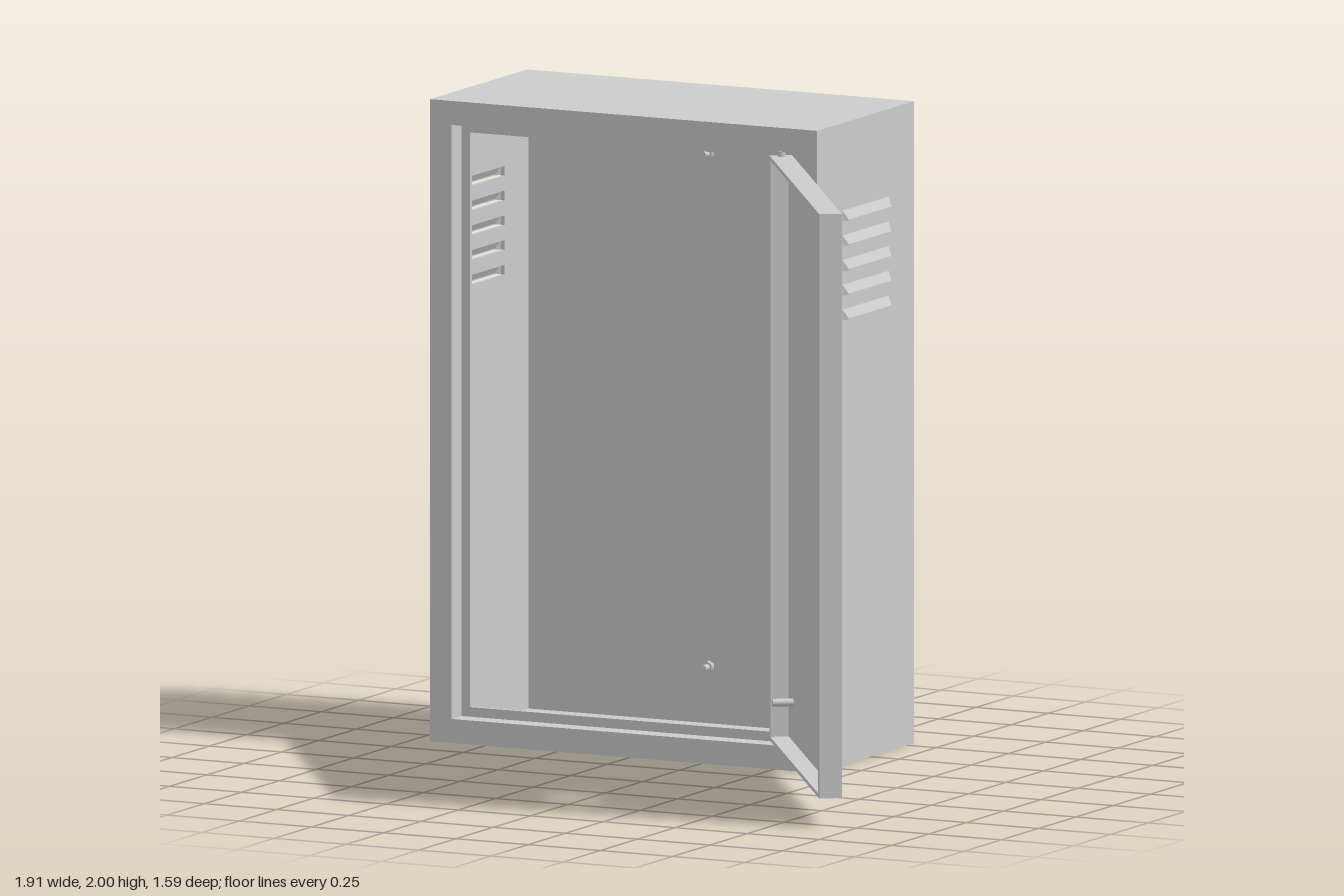
import * as THREE from 'three';

const T = 0.012; // sheet thickness
const X0 = -0.94, X1 = 0.40, H = 2, Z0 = -0.795, Z1 = -0.145;
const CX = (X0 + X1) / 2;
const mat = new THREE.MeshStandardMaterial({ color: 0xcccccc, side: THREE.DoubleSide });

function add(parent, name, geometry) {
  const mesh = new THREE.Mesh(geometry, mat);
  mesh.name = name;
  parent.add(mesh);
  return mesh;
}

// Box given by its minimum and maximum corners
function box(parent, name, x0, x1, y0, y1, z0, z1) {
  const mesh = add(parent, name, new THREE.BoxGeometry(x1 - x0, y1 - y0, z1 - z0));
  mesh.position.set((x0 + x1) / 2, (y0 + y1) / 2, (z0 + z1) / 2);
  return mesh;
}

function tracePoints(target, x0, x1, y0, y1) {
  target.moveTo(x0, y0).lineTo(x1, y0).lineTo(x1, y1).lineTo(x0, y1).closePath();
  return target;
}

// Flat sheet with rectangular holes, extruded along +z
function sheet(x0, x1, y0, y1, holes, depth) {
  const shape = tracePoints(new THREE.Shape(), x0, x1, y0, y1);
  for (const h of holes) shape.holes.push(tracePoints(new THREE.Path(), ...h));
  return new THREE.ExtrudeGeometry(shape, { depth, bevelEnabled: false });
}

// Rectangular ring between two insets from the cabinet outline
function ring(parent, name, outer, inner, z, depth) {
  const hole = [X0 + inner, X1 - inner, inner, H - inner];
  const g = sheet(X0 + outer, X1 - outer, outer, H - outer, [hole], depth);
  return add(parent, name, g.translate(0, 0, z));
}

function rod(parent, name, radius, length, sides, x, y, z) {
  const g = new THREE.CylinderGeometry(radius, radius, length, sides).rotateX(Math.PI / 2);
  add(parent, name, g.translate(0, 0, length / 2)).position.set(x, y, z);
}

// Louvre hood: sloping cover with tapered ends, open underneath; s = outward x direction
function louvreHood(x, y, s) {
  const out = x + s * 0.016;
  const za = -0.625, zb = -0.315, e = 0.012, h = 0.032;
  const p = [
    [x, y + h, za], [x, y + h, zb],
    [out, y + 0.004, zb - e], [out, y + 0.004, za + e],
    [x, y, za], [x, y, zb],
    [out, y, zb - e], [out, y, za + e],
  ];
  const tris = [0, 1, 2, 0, 2, 3, 3, 2, 6, 3, 6, 7, 1, 5, 6, 1, 6, 2, 0, 3, 7, 0, 7, 4];
  if (s < 0) tris.reverse();
  const g = new THREE.BufferGeometry();
  g.setAttribute('position', new THREE.Float32BufferAttribute(tris.flatMap(i => p[i]), 3));
  g.computeVertexNormals();
  return g;
}

function createCabinet() {
  const cabinet = new THREE.Group();
  cabinet.name = 'cabinet';
  const zf = Z1 - T;
  box(cabinet, 'backPanel', X0 + T, X1 - T, T, H - T, Z0, Z0 + T);
  box(cabinet, 'floorPanel', X0 + T, X1 - T, 0, T, Z0, zf);
  box(cabinet, 'topPanel', X0 + T, X1 - T, H - T, H, Z0, zf);

  // Side walls with ventilation slots and hoods
  const slotYs = [0, 1, 2, 3, 4].map(i => 1.387 + i * 0.077);
  const slots = slotYs.map(y => [-0.62, -0.32, y, y + 0.03]);
  for (const s of [-1, 1]) {
    const outer = s > 0 ? X1 : X0;
    const g = sheet(Z0, zf, 0, H, slots, T).rotateY(-Math.PI / 2);
    add(cabinet, s > 0 ? 'leftWall' : 'rightWall', g.translate(s > 0 ? X1 : X0 + T, 0, 0));
    for (const y of slotYs) add(cabinet, 'louvreHood', louvreHood(outer, y, s));
  }

  // Front frame folded inward, ending in a door stop
  ring(cabinet, 'frontFrame', 0, 0.075, zf, T);
  ring(cabinet, 'frameReturn', 0.075 - T, 0.075, Z1 - 0.065, 0.065 - T);
  ring(cabinet, 'doorStop', 0.075 - T, 0.105, Z1 - 0.065 - T, T);

  // Mounting plate held off the back by two bolts
  box(cabinet, 'mountingPlate', X0 + 0.135, X1 - 0.135, 0.135, H - 0.135, -0.732, -0.72);
  for (const y of [0.2, 1.8]) {
    rod(cabinet, 'plateStud', 0.01, 0.105, 16, CX, y, Z0 + T);
    rod(cabinet, 'plateNut', 0.019, 0.016, 6, CX, y, -0.72);
  }
  return cabinet;
}

// Shallow pan door; local x runs from hinge to free edge, local z points inside
function createDoor() {
  const door = new THREE.Group();
  door.name = 'door';
  const L = 1.15, D = 0.07, y0 = 0.09, y1 = 1.91;
  add(door, 'doorSheet', sheet(0, L, y0, y1, [[0.861, 0.958, 0.885, 1.12]], T));
  box(door, 'hingeEdge', 0, T, y0, y1, T, D);
  box(door, 'freeEdge', L - T, L, y0, y1, T, D);
  box(door, 'bottomEdge', T, L - T, y0, y0 + T, T, D);
  box(door, 'topEdge', T, L - T, y1 - T, y1, T, D);
  box(door, 'hingeLip', T, 0.022, y0 + T, y1 - T, D - T, D);
  box(door, 'freeLip', L - 0.035, L - T, y0 + T, y1 - T, D - T, D);
  rod(door, 'groundStud', 0.012, 0.065, 16, 0.12, 0.225, T);

  // Hinge pins between the door and the frame
  for (const y of [0.083, 1.917]) {
    add(door, 'hingePin', new THREE.CylinderGeometry(0.012, 0.012, 0.018, 16))
      .position.set(0.022, y, 0.035);
  }
  door.position.set(0.29, 0, -0.19);
  door.rotation.y = -55 * Math.PI / 180;
  return door;
}

export function createModel() {
  const model = new THREE.Group();
  model.name = 'wallCabinet';
  model.add(createCabinet(), createDoor());
  return model;
}
